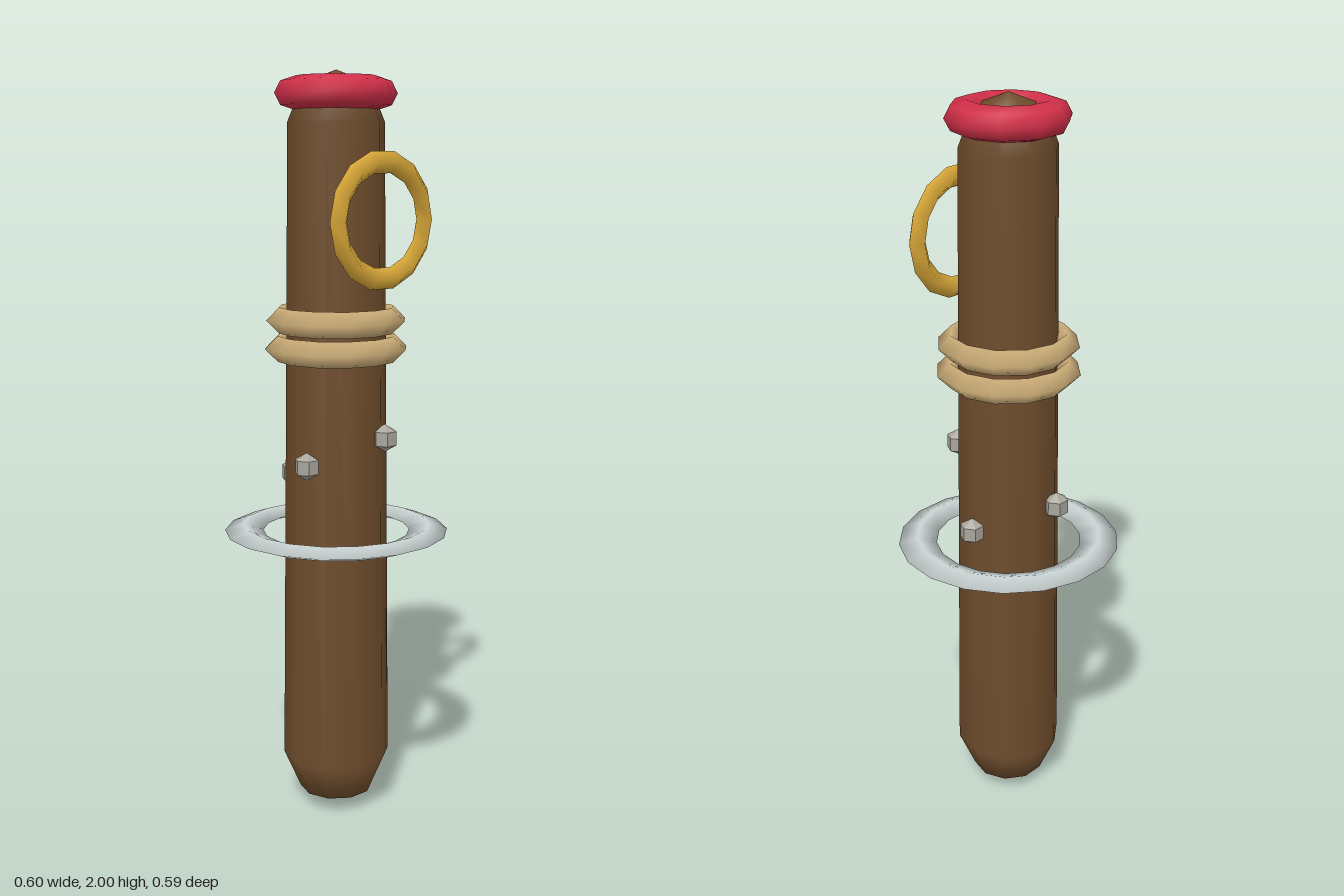
import * as THREE from 'three';

const mat = (name, color) => {
  const m = new THREE.MeshStandardMaterial({ color });
  m.name = name;
  return m;
};

export function createModel() {
  const group = new THREE.Group();
  const wood = mat('brown wood', 0x6e4c2c);
  const red = mat('red paint', 0xd02f48);
  const rope = mat('tan rope', 0xcdae78);
  const gold = mat('gold metal', 0xd9a838);
  const foam = mat('pale grey', 0xcdd6d6);
  const stone = mat('grey shell', 0xa8a59c);

  const add = (name, geometry, material, x, y, z) => {
    const mesh = new THREE.Mesh(geometry, material);
    mesh.name = name;
    mesh.position.set(x, y, z);
    group.add(mesh);
    return mesh;
  };

  // Torus lying flat, squashed to the given half height
  const flatRing = (name, material, y, radius, tube, halfHeight, sides, segments) => {
    const g = new THREE.TorusGeometry(radius, tube, sides, segments);
    g.rotateX(-Math.PI / 2);
    g.scale(1, halfHeight / tube, 1);
    return add(name, g, material, 0, y, 0);
  };

  // Tapered post with blunt ends
  const profile = [
    [0, 0], [0.1, 0.045], [0.146, 0.15], [0.126, 1.87], [0.087, 1.966], [0, 2],
  ].map(([r, y]) => new THREE.Vector2(r, y));
  const post = new THREE.LatheGeometry(profile, 10);
  post.rotateY(Math.PI / 2);
  add('post', post, wood, 0, 0, 0);

  // Painted collar around the top
  flatRing('topCollar', red, 1.942, 0.105, 0.054, 0.043, 8, 10);

  // Two rope wraps
  flatRing('upperRope', rope, 1.363, 0.153, 0.034, 0.034, 4, 12);
  flatRing('lowerRope', rope, 1.288, 0.157, 0.034, 0.034, 4, 12);

  // Mooring ring on the front
  add('mooringRing', new THREE.TorusGeometry(0.148, 0.028, 4, 14), gold, 0, 1.625, 0.175);

  // Wide ring at the waterline
  flatRing('waterRing', foam, 0.79, 0.25, 0.052, 0.019, 4, 18);

  // Small shells stuck to the post
  const shell = new THREE.SphereGeometry(0.037, 6, 3).toNonIndexed();
  shell.computeVertexNormals();
  [
    [0.05, 1.057, 0.137], [-0.142, 0.992, 0.045],
    [-0.03, 0.93, -0.145], [0.143, 0.868, 0],
  ].forEach(([x, y, z], i) => add('shell' + (i + 1), shell, stone, x, y, z));

  return group;
}
